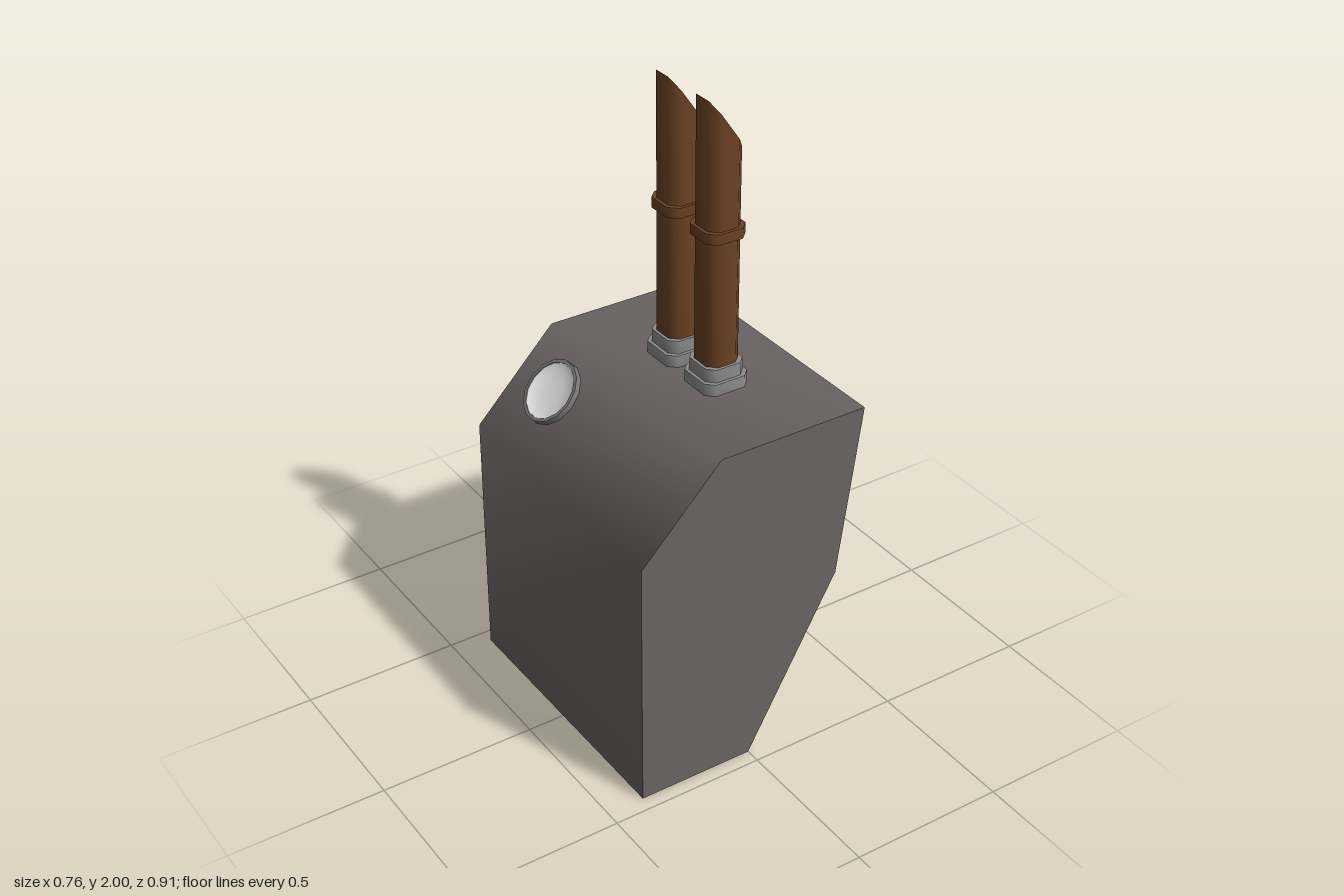
import * as THREE from 'three';
import { toCreasedNormals } from 'three/addons/utils/BufferGeometryUtils.js';

const CREASE = THREE.MathUtils.degToRad(50);

function material(name, color) {
  const m = new THREE.MeshStandardMaterial({ color });
  m.name = name;
  return m;
}

function part(name, geometry, mat) {
  const mesh = new THREE.Mesh(toCreasedNormals(geometry, CREASE), mat);
  mesh.name = name;
  return mesh;
}

// Square prism with chamfered corners, standing between two heights
function octPrism(half, chamfer, y0, y1) {
  const f = half - chamfer;
  const shape = new THREE.Shape([
    [half, -f], [half, f], [f, half], [-f, half],
    [-half, f], [-half, -f], [-f, -half], [f, -half],
  ].map(([x, y]) => new THREE.Vector2(x, y)));
  return new THREE.ExtrudeGeometry(shape, { depth: y1 - y0, bevelEnabled: false })
    .rotateX(-Math.PI / 2).translate(0, y0, 0);
}

export function createModel() {
  const group = new THREE.Group();
  group.name = 'furnaceBlock';
  const bodyMat = material('warm dark grey', 0x6a6363);
  const pipeMat = material('rusty brown', 0x6b4223);
  const collarMat = material('mid grey', 0x8c8c8c);
  const rimMat = material('rim grey', 0x777575);
  const glassMat = material('pale glass', 0xe6e6e6);

  // Main body: faceted side profile extruded front to back
  const profile = new THREE.Shape([
    [-0.38, 0], [0, 0], [0.303, 0.55], [0.38, 1.097], [-0.115, 1.097], [-0.38, 0.825],
  ].map(([x, y]) => new THREE.Vector2(x, y)));
  const bodyGeo = new THREE.ExtrudeGeometry(profile, { depth: 0.906, bevelEnabled: false })
    .translate(0, 0, -0.453);
  group.add(part('body', bodyGeo, bodyMat));

  // Two exhaust pipes with slanted tops, a band and a stepped collar
  for (const z of [0.097, -0.099]) {
    const pipe = new THREE.Group();
    pipe.name = z > 0 ? 'frontPipe' : 'backPipe';
    pipe.position.set(0.11, 0, z);

    const tube = octPrism(0.056, 0.026, 1.09, 2);
    const p = tube.attributes.position;
    for (let i = 0; i < p.count; i++) {
      if (p.getY(i) > 1.5) p.setY(i, 2 - (p.getX(i) + 0.056) * 1.43);
    }
    pipe.add(part('pipeTube', tube, pipeMat));
    pipe.add(part('pipeBand', octPrism(0.066, 0.026, 1.577, 1.61), pipeMat));
    pipe.add(part('collarBase', octPrism(0.075, 0.025, 1.095, 1.135), collarMat));
    pipe.add(part('collarTop', octPrism(0.065, 0.024, 1.135, 1.177), collarMat));
    group.add(pipe);
  }

  // Round window on the sloped shoulder
  const porthole = new THREE.Group();
  porthole.name = 'porthole';
  porthole.position.set(-0.225, 0.984, -0.265);
  porthole.rotation.z = Math.PI / 4;
  const v = (x, y) => new THREE.Vector2(x, y);
  const rim = new THREE.LatheGeometry(
    [v(0.105, -0.005), v(0.103, 0.018), v(0.092, 0.018), v(0.09, 0.004)], 14);
  porthole.add(part('portholeRim', rim, rimMat));
  const glass = new THREE.LatheGeometry(
    [v(0.092, 0.016), v(0.075, 0.008), v(0.04, 0.004), v(0, 0.003)], 14);
  porthole.add(part('portholeGlass', glass, glassMat));
  group.add(porthole);

  return group;
}
